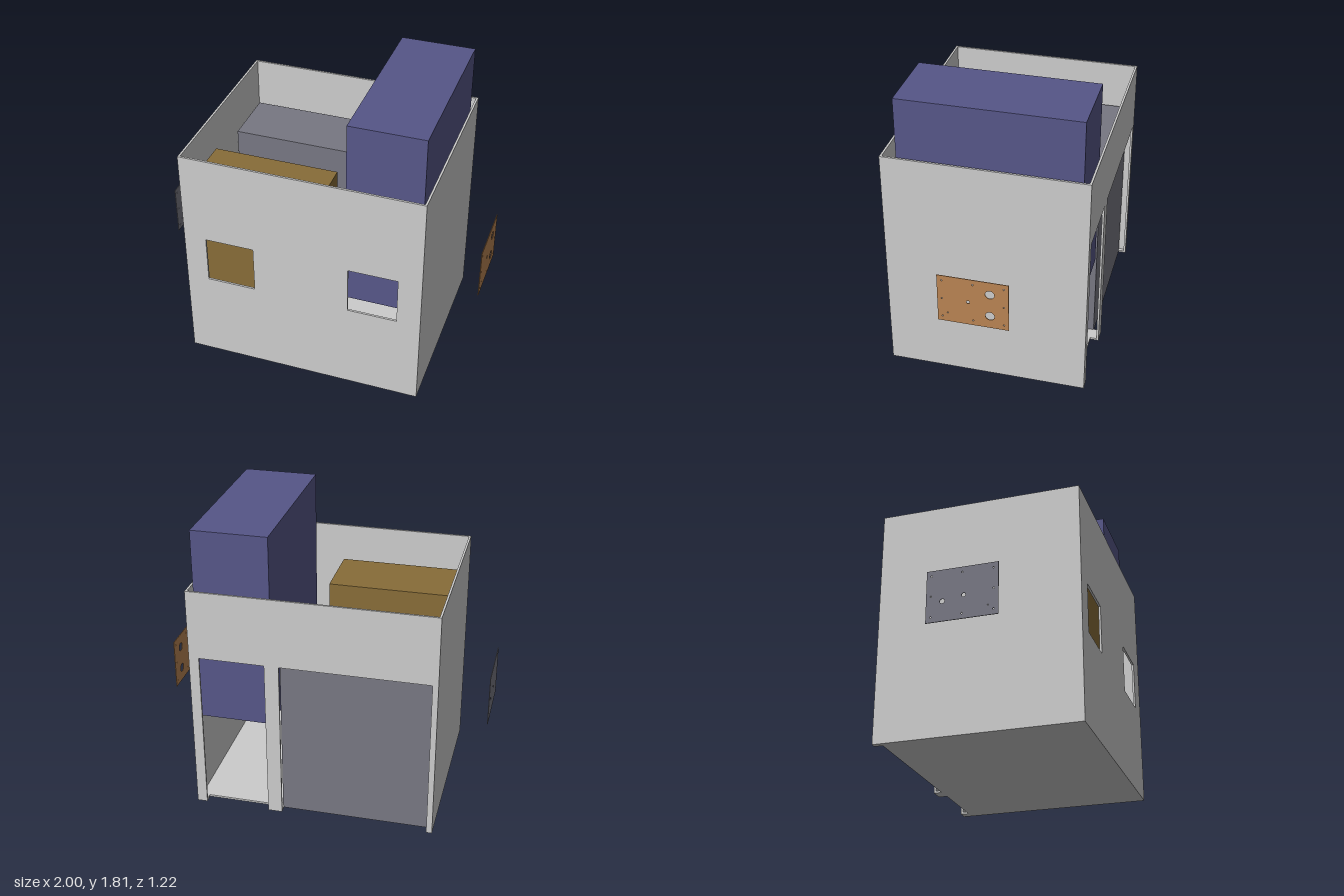
import * as THREE from 'three';

const W = 0.745, D = 0.608, H = 1.45, T = 0.013; // half width, half depth, height, wall thickness

const material = (color) => new THREE.MeshStandardMaterial({ color, roughness: 0.8 });

function polygon(points, Type = THREE.Shape) {
  return new Type(points.map(([x, y]) => new THREE.Vector2(x, y)));
}

const rectangle = (x0, y0, x1, y1, Type) =>
  polygon([[x0, y0], [x1, y0], [x1, y1], [x0, y1]], Type);

const extrude = (shape, depth) =>
  new THREE.ExtrudeGeometry(shape, { depth, bevelEnabled: false, curveSegments: 10 });

export function createModel() {
  const model = new THREE.Group();
  model.name = 'room';
  const grey = material(0xcccccc);
  const slate = material(0x777782);
  const blue = material(0x565688);
  const brown = material(0x876c38);
  const orange = material(0xb88352);

  function add(name, geometry, mat, parent = model) {
    const mesh = new THREE.Mesh(geometry, mat);
    mesh.name = name;
    parent.add(mesh);
    return mesh;
  }

  function block(name, min, max, mat) {
    const size = max.map((v, i) => v - min[i]);
    const mesh = add(name, new THREE.BoxGeometry(...size), mat);
    mesh.position.set(...max.map((v, i) => (v + min[i]) / 2));
  }

  // Front wall with two square windows
  const front = rectangle(-W, 0, W, H);
  for (const x of [-0.605, 0.295]) {
    front.holes.push(rectangle(x, 0.577, x + 0.305, 0.88, THREE.Path));
  }
  add('frontWall', extrude(front, T), grey).position.z = D - T;

  // Back wall with a wide opening and a doorway reaching the ground
  const doorTop = 1.02;
  const back = polygon([
    [-W, 0], [-0.71, 0], [-0.71, doorTop], [0.195, doorTop], [0.195, 0], [0.283, 0],
    [0.283, doorTop], [0.683, doorTop], [0.683, 0], [W, 0], [W, H], [-W, H],
  ]);
  add('backWall', extrude(back, T), grey).position.z = -D;

  // Side walls
  for (const [name, s] of [['leftWall', 1], ['rightWall', -1]]) {
    const wall = add(name, new THREE.BoxGeometry(T, H, 2 * (D - T)), grey);
    wall.position.set(s * (W - T / 2), H / 2, 0);
  }

  // Floor, cut back at both openings
  const w = W - T, d = D - T, notch = 0.555;
  const floor = polygon([
    [-w, -d], [w, -d], [w, d], [0.683, d], [0.683, notch], [0.283, notch],
    [0.283, d], [0.195, d], [0.195, notch], [-0.71, notch], [-0.71, d], [-w, d],
  ]);
  add('floor', extrude(floor, T).rotateX(-Math.PI / 2), grey);

  // Contents of the room
  block('raisedBlock', [0.252, 0.6, -0.56], [0.71, 1.81, 0.52], blue);
  block('rearBlock', [-0.715, 0.002, -0.56], [0.2, 1.157, -0.18], slate);
  block('frontBlock', [-0.715, 0.002, 0.15], [0.075, 1.23, 0.555], brown);
  block('smallBlock', [0.09, 0.002, 0.457], [0.237, 0.4, 0.555], slate);

  // Thin drilled plates floating beside the walls; holes are [z, y, radius]
  function plate(name, x, holes, mat) {
    const shape = rectangle(-0.21, 0.567, 0.21, 0.885);
    for (const [z, y, r] of holes) {
      shape.holes.push(new THREE.Path().absarc(-z, y, r, 0, Math.PI * 2, true));
    }
    add(name, extrude(shape, 0.004).rotateY(Math.PI / 2), mat).position.x = x;
  }
  const screws = [[0.15, 0.628, 0.004]];
  for (const z of [-0.182, 0, 0.182]) {
    for (const y of [0.6, 0.726, 0.852]) {
      if (z !== 0 || y !== 0.726) screws.push([z, y, 0.005]);
    }
  }
  plate('leftPlate', 0.996,
    [...screws, [0.028, 0.726, 0.01], [-0.1, 0.8, 0.027], [-0.1, 0.65, 0.027]], orange);
  plate('rightPlate', -1,
    [...screws, [0.01, 0.71, 0.012], [-0.115, 0.69, 0.014]], slate);

  return model;
}
